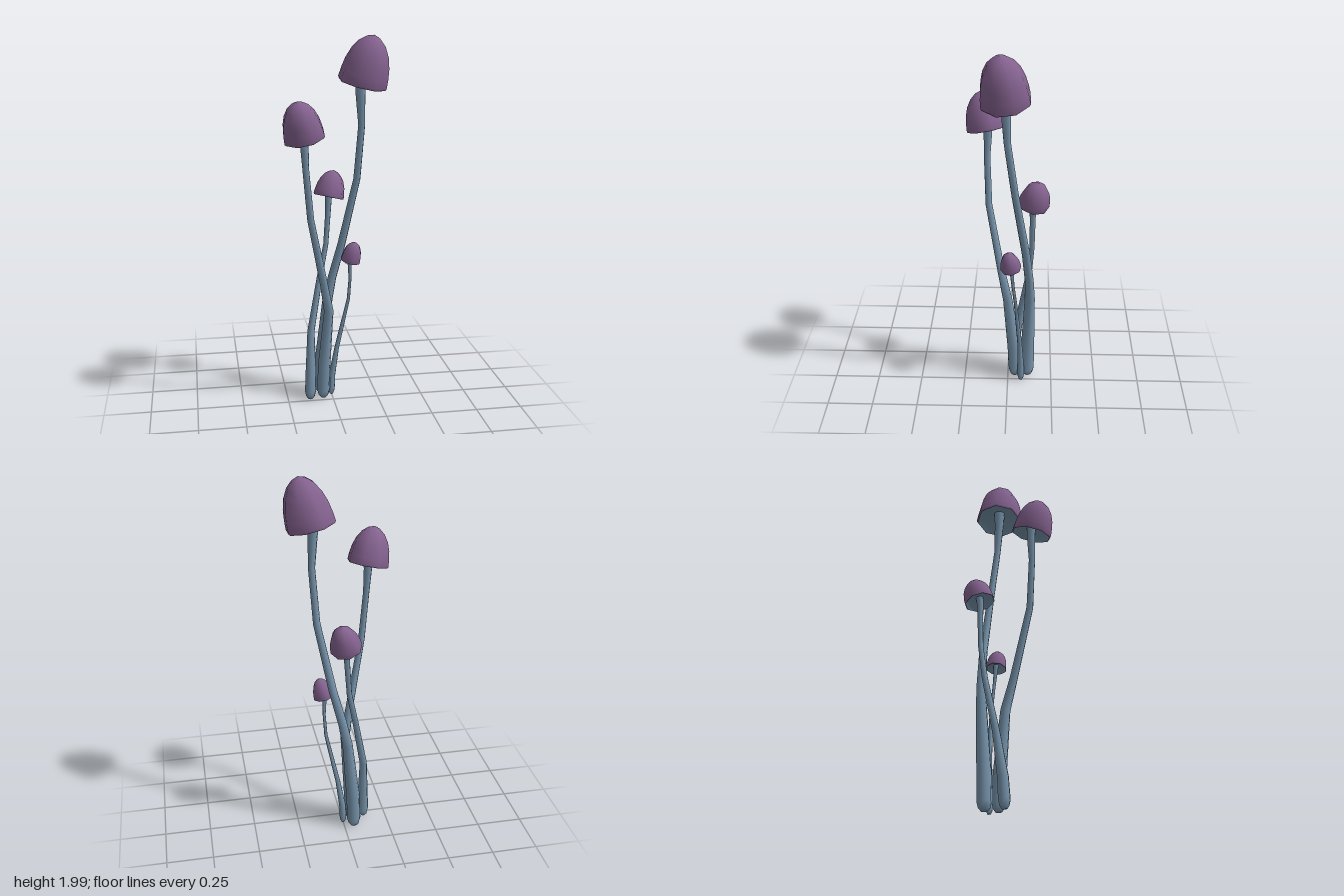
import * as THREE from 'three';

const SIDES = 8;
const UP = new THREE.Vector3(0, 1, 0);
const capMat = new THREE.MeshStandardMaterial({ color: 0x84628f });
const stemMat = new THREE.MeshStandardMaterial({ color: 0x7895ad });
const gillMat = new THREE.MeshStandardMaterial({ color: 0x7895ad, side: THREE.DoubleSide });

// Tapered stalk: one ring of vertices per path point [x, y, z, radius]
function stalkGeometry(path) {
  const pts = path.map(([x, y, z]) => new THREE.Vector3(x, y, z));
  const pos = [], index = [];
  pts.forEach((p, i) => {
    const dir = pts[Math.min(i + 1, pts.length - 1)].clone()
      .sub(pts[Math.max(i - 1, 0)]).normalize();
    const q = new THREE.Quaternion().setFromUnitVectors(UP, dir);
    for (let s = 0; s < SIDES; s++) {
      const a = (s / SIDES) * Math.PI * 2;
      const v = new THREE.Vector3(Math.sin(a), 0, Math.cos(a))
        .multiplyScalar(path[i][3]).applyQuaternion(q).add(p);
      pos.push(v.x, v.y, v.z);
      if (i > 0) {
        const n = (s + 1) % SIDES, lo = (i - 1) * SIDES, hi = i * SIDES;
        index.push(lo + s, lo + n, hi + n, lo + s, hi + n, hi + s);
      }
    }
  });
  // Close the foot
  const c = pos.length / 3;
  pos.push(pts[0].x, pts[0].y, pts[0].z);
  for (let s = 0; s < SIDES; s++) index.push(c, (s + 1) % SIDES, s);
  const g = new THREE.BufferGeometry();
  g.setAttribute('position', new THREE.Float32BufferAttribute(pos, 3));
  g.setIndex(index);
  g.computeVertexNormals();
  return g;
}

// Faceted lathe from [radius, height] pairs
function lathe(profile, r, h, turn) {
  const pts = profile.map(([x, y]) => new THREE.Vector2(x * r, y * h));
  return new THREE.LatheGeometry(pts, SIDES, turn);
}

const CAP = [[0.95, -0.03], [1, 0.01], [0.97, 0.2], [0.9, 0.42], [0.76, 0.64],
  [0.54, 0.83], [0.27, 0.95], [0, 1]];
const GILLS = [[0.16, 0.2], [0.3, 0.14], [0.75, 0.09], [0.95, -0.03]];

function mushroom(name, { center, tilt, radius, height, turn, foot, path }) {
  const group = new THREE.Group();
  group.name = name;

  // Rounded foot followed by the bending stalk
  const [fx, fz, fr] = foot;
  const rings = [
    [fx, 0.005, fz, fr * 0.45],
    [fx, 0.02, fz, fr * 0.8],
    [fx, 0.05, fz, fr],
    ...path,
  ];
  const stalk = new THREE.Mesh(stalkGeometry(rings), stemMat);
  stalk.name = 'stalk';

  // Tilted cap with its underside
  const head = new THREE.Group();
  head.name = 'head';
  head.position.set(...center);
  head.quaternion.setFromUnitVectors(UP, new THREE.Vector3(...tilt).normalize());
  const phi = THREE.MathUtils.degToRad(turn);
  const cap = new THREE.Mesh(lathe(CAP, radius, height, phi), capMat);
  cap.name = 'cap';
  const gills = new THREE.Mesh(lathe(GILLS, radius, height, phi), gillMat);
  gills.name = 'gills';
  head.add(cap, gills);

  group.add(stalk, head);
  return group;
}

export function createModel() {
  const model = new THREE.Group();
  model.name = 'mushroomCluster';
  model.add(
    mushroom('tallMushroom', {
      center: [0.147, 1.757, 0.005], tilt: [0.23, 1, 0.12],
      radius: 0.13, height: 0.25, turn: 23, foot: [-0.055, -0.112, 0.038],
      path: [[-0.05, 0.2, -0.113, 0.038], [-0.015, 0.55, -0.122, 0.028],
        [0.01, 0.68, -0.118, 0.024], [0.06, 0.88, -0.098, 0.022],
        [0.132, 1.25, -0.042, 0.019], [0.148, 1.54, -0.003, 0.018],
        [0.138, 1.72, 0.005, 0.026], [0.145, 1.81, 0.008, 0.032]],
    }),
    mushroom('leftLeaningMushroom', {
      center: [-0.165, 1.5, 0.11], tilt: [-0.23, 1, 0.2],
      radius: 0.111, height: 0.195, turn: 17, foot: [-0.05, -0.04, 0.035],
      path: [[-0.047, 0.2, -0.033, 0.035], [-0.026, 0.53, 0, 0.026],
        [-0.058, 0.7, 0.037, 0.021], [-0.135, 1.07, 0.105, 0.018],
        [-0.16, 1.34, 0.113, 0.017], [-0.166, 1.47, 0.108, 0.022],
        [-0.168, 1.54, 0.11, 0.026]],
    }),
    mushroom('middleMushroom', {
      center: [-0.005, 1.138, -0.135], tilt: [0.24, 1, -0.2],
      radius: 0.084, height: 0.143, turn: 0, foot: [-0.125, -0.03, 0.031],
      path: [[-0.122, 0.16, -0.036, 0.029], [-0.115, 0.39, -0.07, 0.02],
        [-0.06, 0.68, -0.115, 0.016], [-0.022, 0.87, -0.13, 0.014],
        [-0.01, 1.04, -0.132, 0.015], [-0.007, 1.12, -0.132, 0.018],
        [-0.004, 1.165, -0.136, 0.021]],
    }),
    mushroom('smallMushroom', {
      center: [0.095, 0.806, -0.02], tilt: [0.22, 1, 0.14],
      radius: 0.056, height: 0.108, turn: 10, foot: [0, -0.075, 0.02],
      path: [[0.004, 0.12, -0.074, 0.018], [0.028, 0.28, -0.068, 0.013],
        [0.09, 0.58, -0.045, 0.009], [0.096, 0.7, -0.031, 0.008],
        [0.092, 0.79, -0.023, 0.011], [0.095, 0.83, -0.02, 0.014]],
    }),
  );
  return model;
}
